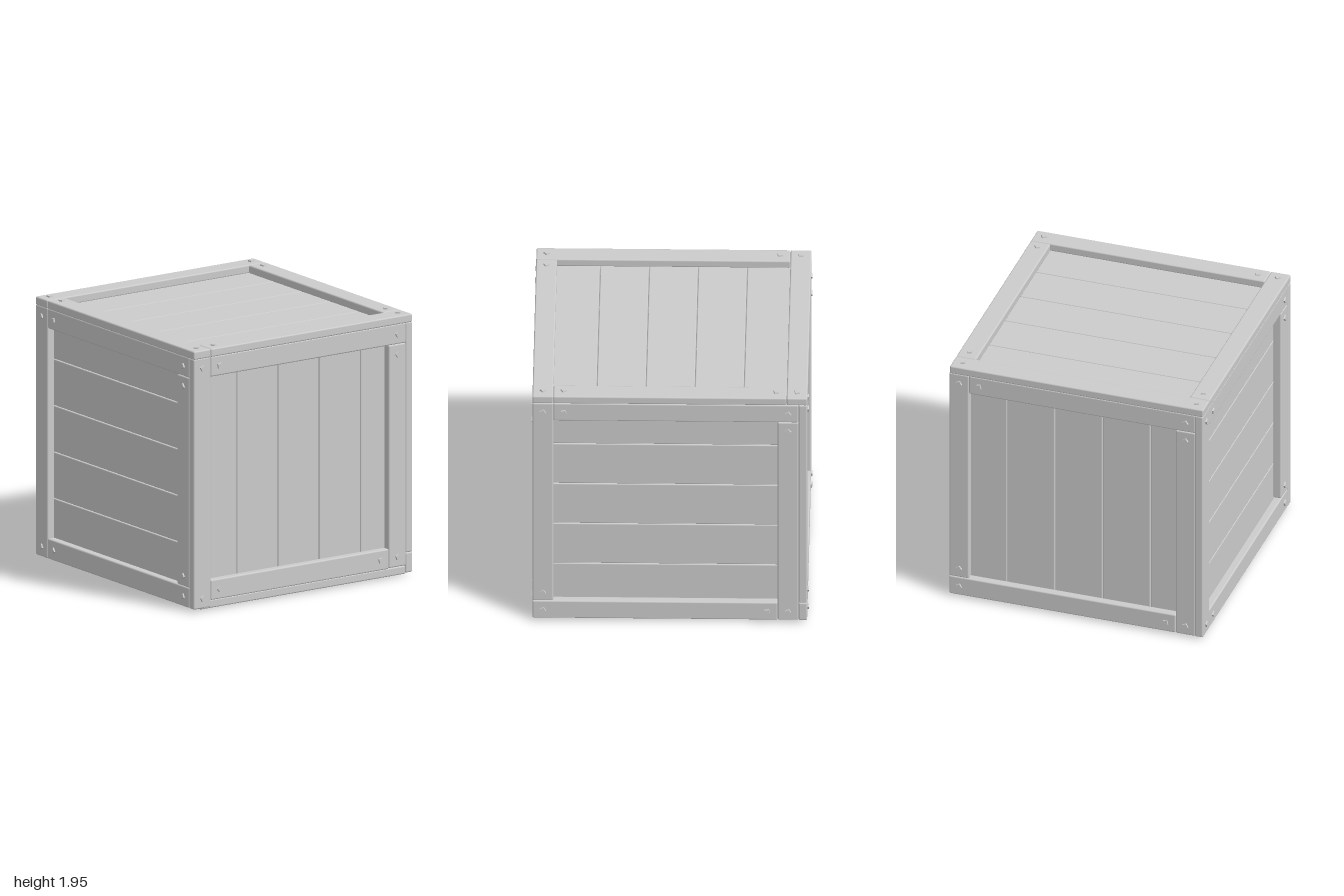
import * as THREE from 'three';
import { RoundedBoxGeometry } from 'three/addons/geometries/RoundedBoxGeometry.js';

const material = new THREE.MeshStandardMaterial({ color: 0xcccccc });
const WIDTH = 0.15, BEAM = 0.058, PLANK = 0.05, GAP = 0.004, INSET = 0.075;
const TOP = 1.88, QUARTER = Math.PI / 2;

// Softened box filling u0..u1, v0..v1, w0..w1 of a face (right, up, outward)
function board(name, [u0, u1, v0, v1], w0, w1, radius) {
  const mesh = new THREE.Mesh(new RoundedBoxGeometry(u1 - u0, v1 - v0, w1 - w0, 2, radius), material);
  mesh.position.set((u0 + u1) / 2, (v0 + v1) / 2, (w0 + w1) / 2);
  mesh.name = name;
  return mesh;
}

// Square tapered nail head, each turned a little differently
const nailGeometry = new THREE.CylinderGeometry(0.022, 0.029, 0.03, 4).toNonIndexed();
nailGeometry.rotateX(QUARTER);
nailGeometry.computeVertexNormals();
function nail(u, v, w) {
  const mesh = new THREE.Mesh(nailGeometry, material);
  mesh.position.set(u, v, w - 0.004);
  mesh.rotation.z = QUARTER / 2 + 0.4 + 0.25 * Math.sin(7 * u + 5 * v);
  mesh.name = 'nailHead';
  return mesh;
}

// Frame of a wall: the feet heights decide which beam laps over which
function wallFrame(left, right, leftFoot, rightFoot, railFoot) {
  const railTop = railFoot + WIDTH;
  const railStart = leftFoot < railTop ? -left + WIDTH : -left;
  const railEnd = rightFoot < railTop ? right - WIDTH : right;
  return {
    leftPost: [-left, -left + WIDTH, leftFoot, TOP],
    topRail: [-left + WIDTH, right, TOP - WIDTH, TOP],
    rightPost: [right - WIDTH, right, rightFoot, TOP - WIDTH],
    bottomRail: [railStart, railEnd, railFoot, railTop],
  };
}

// Frame of the lid or the base
function lidFrame(left, right, low, high) {
  return {
    longRail: [-left, right, high - WIDTH, high],
    leftRail: [-left, -left + WIDTH, -low, high - WIDTH],
    rightRail: [right - WIDTH, right, -low + WIDTH, high - WIDTH],
    shortRail: [-left + WIDTH, right, -low, -low + WIDTH],
  };
}

// One face: five planks, the raised frame, and a nail at each end of every beam
function face(name, turn, depth, planks, frame) {
  const group = new THREE.Group();
  group.name = name;
  for (let i = 0; i < 5; i++) {
    const mid = planks.middle + (i - 2) * planks.pitch;
    const across = [mid - (planks.pitch - GAP) / 2, mid + (planks.pitch - GAP) / 2];
    const rect = planks.upright ? [...across, ...planks.span] : [...planks.span, ...across];
    group.add(board('plank', rect, depth - PLANK, depth, 0.007));
  }
  for (const [beamName, rect] of Object.entries(frame)) {
    const [u0, u1, v0, v1] = rect;
    group.add(board(beamName, rect, depth - GAP, depth + BEAM, 0.011));
    group.add(nail(u0 + INSET, v0 + INSET, depth + BEAM), nail(u1 - INSET, v1 - INSET, depth + BEAM));
  }
  group.rotation.set(...turn);
  return group;
}

export function createModel() {
  const crate = new THREE.Group();
  crate.name = 'woodenCrate';

  const upright = { upright: true, middle: 0, pitch: 0.363, span: [0.07, TOP] };
  const level = { middle: 0.977, pitch: 0.345, span: [-0.88, 0.88] };
  const flat = { middle: 0, pitch: 0.353, span: [-0.905, 0.905] };

  crate.add(
    face('frontFace', [0, 0, 0], 0.93, upright, wallFrame(0.965, 0.905, 0.02, 0.075, 0.07)),
    face('rightFace', [0, QUARTER, 0], 0.905, level, wallFrame(0.99, 0.925, 0.17, 0.02, 0.02)),
    face('backFace', [0, 2 * QUARTER, 0], 0.93, upright, wallFrame(0.965, 0.905, 0.17, 0.02, 0.02)),
    face('leftFace', [0, -QUARTER, 0], 0.905, level, wallFrame(0.99, 0.925, 0.02, 0.17, 0.02)),
    face('topFace', [-QUARTER, 0, 0], TOP, flat, lidFrame(0.965, 0.96, 0.99, 0.99)),
    face('bottomFace', [QUARTER, 0, 0], -0.07, flat, lidFrame(0.905, 0.905, 0.93, 0.985)),
  );
  return crate;
}
